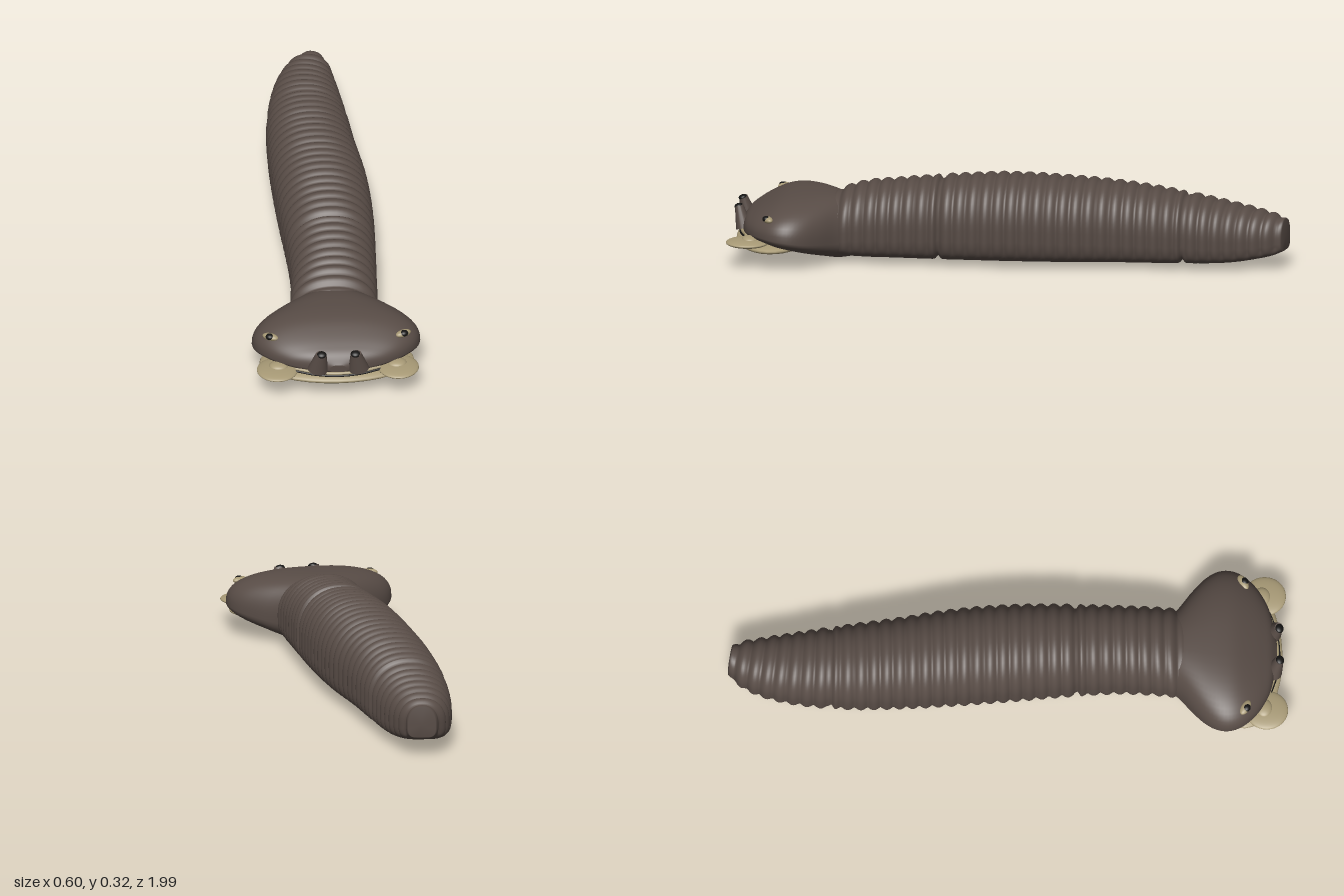
import * as THREE from 'three';

const brown = new THREE.MeshStandardMaterial({ color: 0x584c46 });
const tan = new THREE.MeshStandardMaterial({ color: 0xa89a76 });
const black = new THREE.MeshStandardMaterial({ color: 0x151413 });
brown.name = 'brownSkin';
tan.name = 'tanLip';
black.name = 'black';

function add(parent, name, geometry, material, position = [0, 0, 0], scale = [1, 1, 1], rotation = [0, 0, 0]) {
  const mesh = new THREE.Mesh(geometry, material);
  mesh.name = name;
  mesh.position.set(...position);
  mesh.scale.set(...scale);
  mesh.rotation.set(...rotation);
  parent.add(mesh);
  return mesh;
}

// Rows of [z, centre x, half width, top y, bottom y], smoothly interpolated
function profile(rows) {
  const curve = new THREE.CubicInterpolant(rows.map((r) => r[0]), rows.flatMap((r) => r.slice(1)), 4, new Float32Array(4));
  return (z) => Array.from(curve.evaluate(z));
}

// Closed skin through superellipse sections; powers shape the upper and lower halves
function loft(zs, sectionAt, midY, topPower, lowPower, relief = () => 0, shear = () => 0) {
  const n = 56, pos = [], index = [];
  zs.forEach((z) => {
    const [cx, w, top, bottom] = sectionAt(z);
    const yc = bottom + (top - bottom) * midY;
    for (let j = 0; j < n; j++) {
      const a = (j / n) * Math.PI * 2, c = Math.cos(a), s = Math.sin(a);
      const p = 2 / (s >= 0 ? topPower : lowPower);
      const d = relief(z, s);
      const x = Math.sign(c) * Math.abs(c) ** p * Math.max(w - d, 0.001);
      const h = Math.max((s >= 0 ? top - yc : yc - bottom) - d, 0.001);
      pos.push(cx + x, yc + Math.sign(s) * Math.abs(s) ** p * h, z + x * shear(z));
    }
  });
  const last = zs.length - 1;
  for (let i = 0; i < last; i++) {
    for (let j = 0; j < n; j++) {
      const k = (j + 1) % n, a = i * n + j, b = i * n + k;
      index.push(a, b, a + n, b, b + n, a + n);
    }
  }
  // End caps
  [0, last].forEach((i) => {
    const [cx, , top, bottom] = sectionAt(zs[i]);
    const centre = pos.length / 3;
    pos.push(cx, bottom + (top - bottom) * midY, zs[i]);
    for (let j = 0; j < n; j++) {
      const a = i * n + j, b = i * n + (j + 1) % n;
      if (i === 0) index.push(centre, b, a);
      else index.push(centre, a, b);
    }
  });
  const geometry = new THREE.BufferGeometry();
  geometry.setAttribute('position', new THREE.Float32BufferAttribute(pos, 3));
  geometry.setIndex(index);
  geometry.computeVertexNormals();
  return geometry;
}

function bodyGeometry() {
  const section = profile([
    [-0.99, 0, 0.048, 0.185, 0.072],
    [-0.96, -0.008, 0.072, 0.197, 0.058],
    [-0.9, -0.02, 0.096, 0.21, 0.042],
    [-0.8, -0.03, 0.12, 0.23, 0.026],
    [-0.6, -0.035, 0.146, 0.267, 0.02],
    [-0.4, -0.028, 0.158, 0.296, 0.02],
    [-0.2, -0.012, 0.168, 0.313, 0.02],
    [0, 0, 0.168, 0.321, 0.02],
    [0.2, 0.008, 0.16, 0.31, 0.02],
    [0.4, 0.01, 0.153, 0.29, 0.02],
    [0.52, 0.005, 0.155, 0.273, 0.02],
    [0.6, 0, 0.155, 0.242, 0.025],
    [0.66, 0, 0.13, 0.2, 0.04],
  ]);
  const zs = Array.from({ length: 331 }, (_, i) => -0.99 + i * 0.005);
  // Scalloped rings that fade on the flat belly, plus two deeper grooves
  const relief = (z, s) => {
    const ring = 0.012 * (1 - Math.abs(Math.sin((z * Math.PI) / 0.046)));
    const fade = THREE.MathUtils.smoothstep(s, -0.95, -0.3);
    const groove = [0.24, -0.63].reduce((sum, g) => sum + 0.013 * Math.exp(-(((z - g) / 0.008) ** 2)), 0);
    return ring * fade + groove;
  };
  const shear = (z) => 0.2 * THREE.MathUtils.smoothstep(-z, 0.5, 1);
  return loft(zs, section, 0.42, 2.2, 4, relief, shear);
}

function headGeometry() {
  const section = profile([
    [0.55, 0, 0.115, 0.2, 0.006],
    [0.6, 0, 0.16, 0.225, 0.002],
    [0.65, 0, 0.222, 0.234, 0.015],
    [0.7, 0, 0.272, 0.236, 0.03],
    [0.75, 0, 0.297, 0.235, 0.045],
    [0.8, 0, 0.295, 0.227, 0.058],
    [0.85, 0, 0.266, 0.207, 0.074],
    [0.9, 0, 0.205, 0.18, 0.086],
    [0.93, 0, 0.135, 0.158, 0.092],
    [0.95, 0, 0.03, 0.13, 0.1],
  ]);
  const zs = Array.from({ length: 41 }, (_, i) => 0.55 + 0.4 * Math.sin((i / 40) * Math.PI / 2));
  return loft(zs, section, 0.35, 2.5, 2);
}

// Tube bowed around the front of the mouth
function mouthTube(y, z, radius) {
  const points = [-0.15, -0.08, 0, 0.08, 0.15].map((x) => new THREE.Vector3(x, y + x * x * 0.2, z - x * x * 1.4));
  return new THREE.TubeGeometry(new THREE.CatmullRomCurve3(points), 32, radius, 8);
}

export function createModel() {
  const model = new THREE.Group();
  model.name = 'wideHeadedWorm';
  const ball = new THREE.SphereGeometry(1, 32, 20);

  add(model, 'ringedBody', bodyGeometry(), brown);
  add(model, 'head', headGeometry(), brown);

  // Mouth
  add(model, 'lowerLip', ball, tan, [0, 0.072, 0.83], [0.275, 0.029, 0.14]);
  add(model, 'upperLip', mouthTube(0.097, 0.952, 0.006), tan);
  add(model, 'mouthLine', mouthTube(0.091, 0.958, 0.004), black);

  // Paired parts
  [[1, 'left'], [-1, 'right']].forEach(([side, label]) => {
    const group = new THREE.Group();
    group.name = `${label}FaceParts`;
    model.add(group);

    add(group, 'lipLobe', ball, tan, [side * 0.215, 0.092, 0.91], [0.073, 0.014, 0.076]);
    add(group, 'lobeKnob', ball, tan, [side * 0.21, 0.102, 0.9], [0.035, 0.014, 0.03]);

    add(group, 'nostril', new THREE.CylinderGeometry(0.019, 0.037, 0.08, 20), brown,
      [side * 0.067, 0.147, 0.948], [1, 1, 0.8], [0.25, 0, side * 0.14]);
    add(group, 'nostrilHole', ball, black, [side * 0.06, 0.184, 0.96], [0.017, 0.009, 0.015], [0.3, 0, 0]);

    const eye = new THREE.Group();
    eye.name = 'eye';
    eye.position.set(side * 0.236, 0.183, 0.834);
    eye.rotation.y = side * 0.5;
    group.add(eye);
    add(eye, 'eyelid', ball, tan, [0, 0, 0], [0.03, 0.012, 0.016]);
    add(eye, 'pupil', ball, black, [0, 0.003, 0.005], [0.016, 0.011, 0.014]);
  });

  return model;
}
